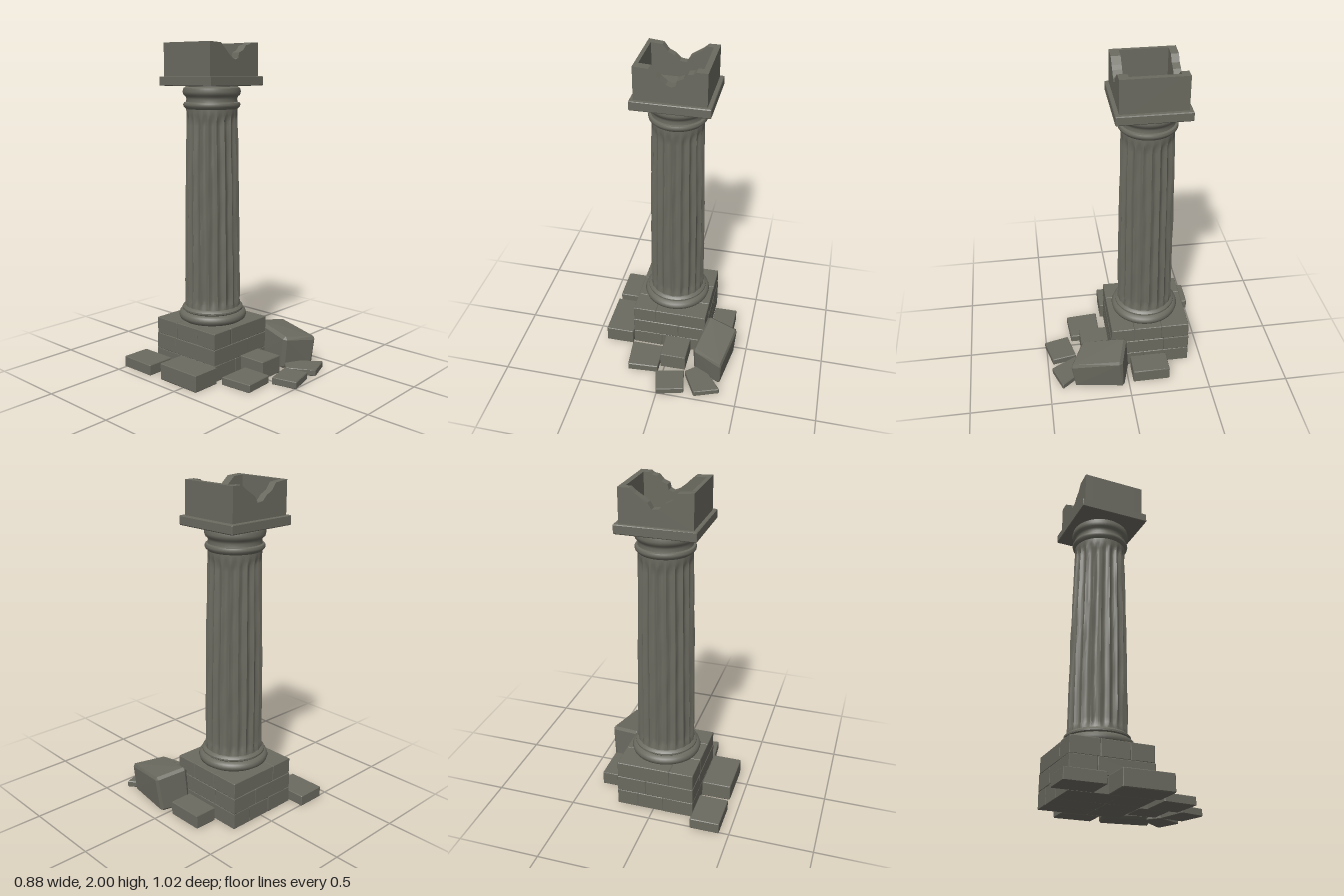
import * as THREE from 'three';
import { toCreasedNormals } from 'three/addons/utils/BufferGeometryUtils.js';
import { ConvexGeometry } from 'three/addons/geometries/ConvexGeometry.js';

const CX = -0.007, CZ = -0.157; // column axis

export function createModel() {
  const model = new THREE.Group();
  const stone = new THREE.MeshStandardMaterial({ color: 0x6b6a60 });
  stone.name = 'weathered stone';

  const add = (parent, name, geometry) => {
    const mesh = new THREE.Mesh(geometry, stone);
    mesh.name = name;
    parent.add(mesh);
    return mesh;
  };
  const group = (name) => {
    const g = new THREE.Group();
    g.name = name;
    model.add(g);
    return g;
  };
  let seed = 11;
  const rand = () => (seed = (seed * 16807) % 2147483647) / 2147483647;

  // Chamfered block from four bottom and four top corners, in matching ring order
  const block = (bottom, top, c) => {
    const ring = [...bottom, ...top].map((p) => new THREE.Vector3(...p));
    const points = [];
    for (let i = 0; i < 8; i++) {
      const base = i < 4 ? 0 : 4;
      const ends = [base + (i + 1) % 4, base + (i + 3) % 4, (i + 4) % 8].map((k) => ring[k]);
      const steps = ends.map((e) => e.clone().sub(ring[i]).setLength(c * (0.6 + 0.8 * rand())));
      // each face keeps a corner pulled in from its two edges
      for (let k = 0; k < 3; k++) points.push(ring[i].clone().add(steps[k]).add(steps[(k + 1) % 3]));
    }
    return new ConvexGeometry(points);
  };
  const prism = (quad, y0, y1, c) =>
    block(quad.map(([x, z]) => [x, y0, z]), quad.map(([x, z]) => [x, y1, z]), c);
  const rect = (x0, x1, z0, z1) => [[x0, z0], [x1, z0], [x1, z1], [x0, z1]];
  const box = (x0, x1, y0, y1, z0, z1) =>
    new THREE.BoxGeometry(x1 - x0, y1 - y0, z1 - z0)
      .translate((x0 + x1) / 2, (y0 + y1) / 2, (z0 + z1) / 2);

  // Pedestal: three courses of staggered masonry
  const pedestal = group('pedestal');
  const courses = [
    { y: [0, 0.1], x: [-0.25, -0.06, 0.1, 0.23], z: [-0.412, -0.12, 0.087] },
    { y: [0.1, 0.2], x: [-0.25, 0.05, 0.23], z: [-0.412, -0.25, 0.087] },
    { y: [0.2, 0.3], x: [-0.248, -0.1, 0.228], z: [-0.41, -0.235, -0.06, 0.085] },
  ];
  for (const { y, x, z } of courses)
    for (let i = 0; i < x.length - 1; i++)
      for (let j = 0; j < z.length - 1; j++)
        add(pedestal, 'pedestalBrick', prism(rect(x[i], x[i + 1], z[j], z[j + 1]), y[0], y[1], 0.003));

  // Fluted shaft: flutes fade out at both ends, with a slight taper and worn wobble
  const column = group('column');
  column.position.set(CX, 0, CZ);
  const shaftGeo = new THREE.CylinderGeometry(1, 1, 1.28, 160, 40, true).translate(0, 1.0, 0);
  const pos = shaftGeo.attributes.position;
  for (let i = 0; i < pos.count; i++) {
    const y = pos.getY(i), a = Math.atan2(pos.getZ(i), pos.getX(i));
    const t = (y - 0.36) / 1.28;
    const fade = THREE.MathUtils.smoothstep(y, 0.38, 0.43) * (1 - THREE.MathUtils.smoothstep(y, 1.54, 1.59));
    const flute = Math.abs(Math.sin(a * 10 + 0.12 * Math.sin(y * 7 + 3 * a)));
    const wear = 0.002 * Math.sin(5 * a + y * 9) * Math.sin(y * 13 + 2 * a);
    const r = 0.174 - 0.017 * t * t - 0.003 * t - fade * (0.016 * flute + wear);
    pos.setXYZ(i, r * Math.cos(a), y, r * Math.sin(a));
  }
  add(column, 'shaft', toCreasedNormals(shaftGeo, 0.6));

  // Turned mouldings at foot and neck
  const lathe = (name, pts) =>
    add(column, name, toCreasedNormals(
      new THREE.LatheGeometry(pts.map(([r, y]) => new THREE.Vector2(r, y)), 48), 0.7));
  lathe('footMoulding', [
    [0, 0.3], [0.19, 0.3], [0.206, 0.311], [0.212, 0.33], [0.206, 0.348], [0.192, 0.357],
    [0.182, 0.36], [0.19, 0.367], [0.19, 0.377], [0.182, 0.385], [0.172, 0.392], [0.16, 0.395],
  ]);
  lathe('neckMoulding', [
    [0.15, 1.605], [0.16, 1.615], [0.17, 1.625], [0.173, 1.637], [0.168, 1.648], [0.156, 1.652],
    [0.153, 1.67], [0.158, 1.685], [0.17, 1.693], [0.176, 1.713], [0.17, 1.735], [0.158, 1.742],
    [0.155, 1.752], [0, 1.752],
  ]);

  // Abacus slab
  const capital = group('capital');
  add(capital, 'abacus', prism(rect(-0.242, 0.22, -0.367, 0.058), 1.748, 1.803, 0.004));

  // Hollow block on top, its front and back walls broken open
  const brokenWall = (name, notch, z, depth) => {
    const shape = new THREE.Shape(
      [[-0.22, 1.8], [0.195, 1.8], [0.195, 2], ...notch, [-0.22, 2]].map((p) => new THREE.Vector2(...p)));
    add(capital, name, new THREE.ExtrudeGeometry(shape, { depth, bevelEnabled: false }).translate(0, 0, z));
  };
  brokenWall('frontWall', [
    [0.13, 2], [0.115, 1.988], [0.085, 1.983], [0.06, 1.955], [0.025, 1.94], [0.018, 1.91],
    [-0.005, 1.9], [-0.035, 1.912], [-0.07, 1.94], [-0.09, 1.96], [-0.13, 1.995],
  ], -0.02, 0.055);
  brokenWall('backWall', [
    [0.13, 2], [0.1, 1.975], [0.06, 1.95], [0.03, 1.93], [0.01, 1.895],
    [-0.03, 1.9], [-0.06, 1.93], [-0.1, 1.95], [-0.13, 1.99],
  ], -0.345, 0.045);
  add(capital, 'rightWall', box(-0.22, -0.197, 1.8, 2, -0.3, -0.02));
  add(capital, 'leftWall', box(0.163, 0.195, 1.8, 2, -0.3, -0.02));

  // Fallen blocks lying around the pedestal
  const rubble = group('rubble');
  const slabs = [
    [rect(-0.44, -0.26, -0.51, -0.275), 0.068],
    [rect(-0.432, -0.252, -0.19, 0.11), 0.103],
    [rect(0.245, 0.39, -0.262, -0.03), 0.088],
    [rect(-0.027, 0.138, 0.095, 0.275), 0.112],
    [[[-0.243, 0.14], [-0.032, 0.14], [-0.032, 0.33], [-0.225, 0.343]], 0.05],
    [[[-0.038, 0.355], [0.14, 0.315], [0.168, 0.466], [0, 0.51]], 0.045],
    [[[0.145, 0.315], [0.24, 0.23], [0.39, 0.42], [0.235, 0.477]], 0.04],
  ];
  for (const [quad, h] of slabs) add(rubble, 'fallenSlab', prism(quad, 0, h, 0.004));
  add(rubble, 'fallenBlock', block(
    [[0.23, 0, -0.02], [0.42, 0, 0.035], [0.375, 0, 0.345], [0.19, 0, 0.25]],
    [[0.24, 0.258, -0.005], [0.44, 0.228, 0.05], [0.383, 0.19, 0.368], [0.185, 0.212, 0.275]], 0.015));

  return model;
}
